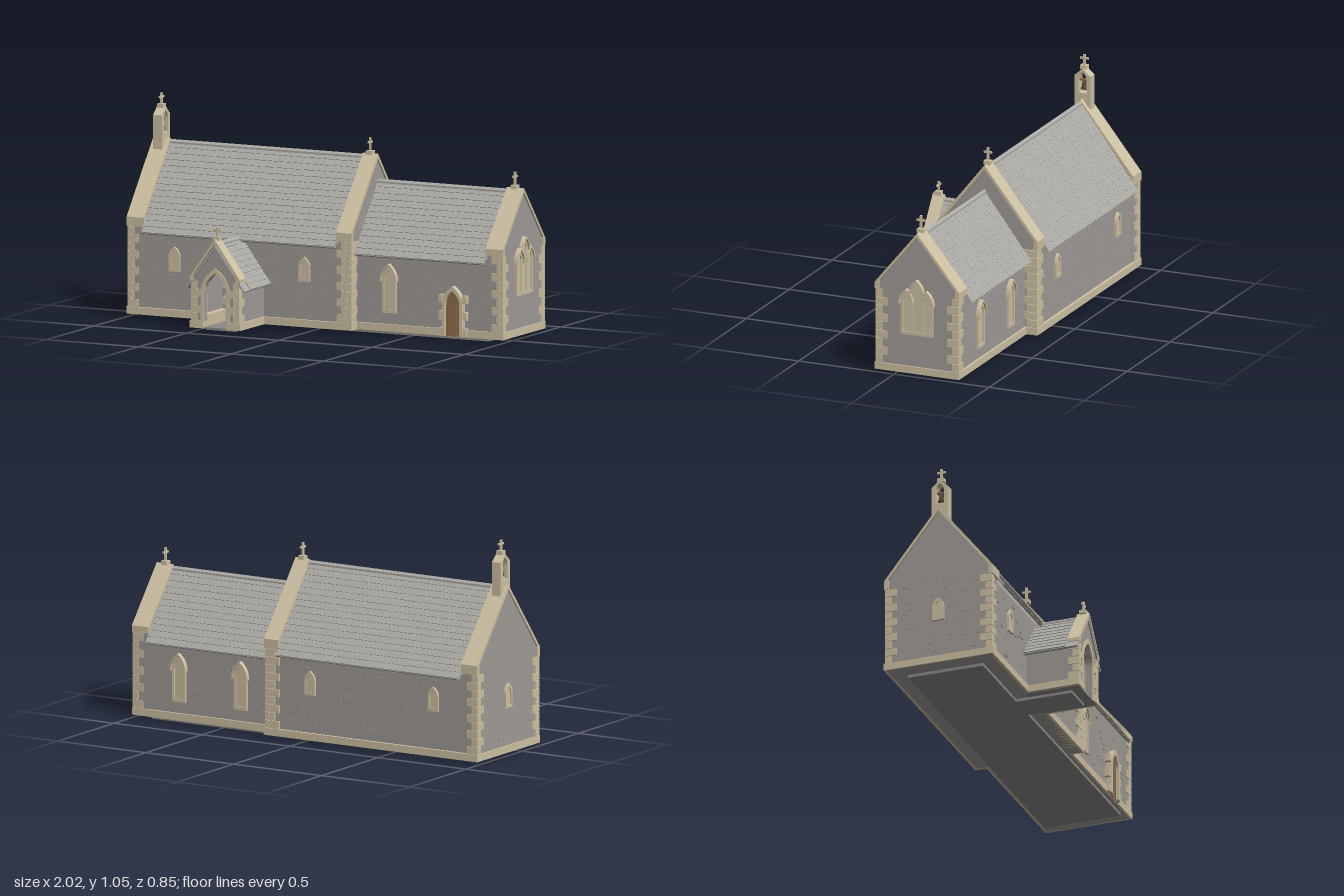
import * as THREE from 'three';
import { mergeGeometries } from 'three/addons/utils/BufferGeometryUtils.js';

const flat = (name, color) => {
  const m = new THREE.MeshStandardMaterial({ color });
  m.name = name;
  return m;
};
const AXIS = -0.12; // z of the ridge line
let seed = 7;
const rand = () => (seed = (seed * 16807) % 2147483647) / 2147483647;

export function createModel() {
  const stone = flat('grey rubble stone', 0xa09c98);
  const cream = flat('dressed cream stone', 0xcec2a3);
  const slate = flat('slate', 0xabaaa5);
  const wood = flat('oak', 0x8f6c4b);
  const bronze = flat('dark bronze', 0x5a4a3c);
  const floorMat = flat('paving', 0x8b8986);

  const model = new THREE.Group();
  const add = (parent, name, geo, mat) => {
    const m = new THREE.Mesh(geo, mat);
    m.name = name;
    parent.add(m);
    return m;
  };
  const boxGeo = (x0, x1, y0, y1, z0, z1) =>
    new THREE.BoxGeometry(x1 - x0, y1 - y0, z1 - z0).translate((x0 + x1) / 2, (y0 + y1) / 2, (z0 + z1) / 2);
  const shapeOf = (pts) => new THREE.Shape(pts.map((p) => new THREE.Vector2(...p)));
  const extrude = (shape, depth) => new THREE.ExtrudeGeometry(shape, { depth, bevelEnabled: false, curveSegments: 8 });
  // profile in (z, y) swept along x
  const alongX = (shape, x0, x1) => extrude(shape, x1 - x0).rotateY(Math.PI / 2).translate(x0, 0, 0);
  const house = (half, y0, eave, apex) => shapeOf([[-half, y0], [half, y0], [half, eave], [0, apex], [-half, eave]]);

  // ---- pointed arches, windows and doors ----
  const archTop = (s, w, spring, h, dir) => {
    const c = spring + (h - spring) * 0.62;
    s.quadraticCurveTo(dir * w, c, 0, h);
    s.quadraticCurveTo(-dir * w, c, -dir * w, spring);
  };
  const arch = (w, spring, h, y0 = 0, S = THREE.Shape) => {
    const s = new S();
    s.moveTo(w, y0);
    s.lineTo(w, spring);
    archTop(s, w, spring, h, 1);
    s.lineTo(-w, y0);
    s.closePath();
    return s;
  };
  const ring = (w, spring, h, t, y0) => {
    const s = new THREE.Shape();
    s.moveTo(w + t, y0);
    s.lineTo(w + t, spring);
    archTop(s, w + t, spring, h + t * 1.5, 1);
    s.lineTo(-w - t, y0);
    s.lineTo(-w, y0);
    s.lineTo(-w, spring);
    archTop(s, w, spring, h, -1);
    s.lineTo(w, y0);
    s.closePath();
    return s;
  };
  const opening = (parent, name, { x = 0, y, w, h, t = 0.013, depth = 0.012, door = false, hood = false, sill = true }) => {
    const g = new THREE.Group();
    g.name = name;
    g.position.set(x, y, 0);
    const spring = h - w * 1.9;
    add(g, 'surround', extrude(ring(w, spring, h, t, 0), depth), cream);
    add(g, door ? 'doorLeaf' : 'pane', extrude(arch(w, spring, h), depth * 0.5), door ? wood : cream);
    if (sill) add(g, 'sill', boxGeo(-w - t, w + t, -0.015, 0.001, 0, depth), cream);
    if (hood) {
      const m = add(g, 'hoodMould', extrude(ring(w + t, spring - 0.01, h + t * 1.4, 0.007, spring - 0.012), depth + 0.01), cream);
      m.position.z = 0;
    }
    if (door) {
      for (let i = -2; i <= 2; i++)
        add(g, 'doorBatten', boxGeo(i * w * 0.36 - 0.002, i * w * 0.36 + 0.002, 0, spring, depth * 0.5, depth * 0.5 + 0.002), wood);
      for (const s of [-1, 1]) for (let i = 0; i < 5; i += 2)
        add(g, 'jambBlock', boxGeo(s * (w + t + 0.008) - 0.01, s * (w + t + 0.008) + 0.01, i * 0.04, i * 0.04 + 0.04, 0, depth - 0.003), cream);
    }
    parent.add(g);
  };
  const face = (name, x, z, turn) => {
    const g = new THREE.Group();
    g.name = name;
    g.position.set(x, 0, z);
    g.rotation.y = turn;
    model.add(g);
    return g;
  };

  // ---- roof: thin slab, slate courses and ridge, along local x ----
  const roof = (parent, name, x0, x1, slabEnd, half, eave, ridge, rows) => {
    const g = new THREE.Group();
    g.name = name;
    const a = Math.atan2(ridge - eave, half), len = Math.hypot(ridge - eave, half), step = len / rows;
    const b = ridge - 0.008, e = eave - 0.008;
    add(g, 'roofSlab', alongX(shapeOf([[half, e], [0, b], [-half, e], [-half + 0.008, e - 0.006], [0, b - 0.016], [half - 0.008, e - 0.006]].reverse()), x0, slabEnd), slate);
    const slates = [], n = Math.round((x1 - x0) / 0.03), wide = (x1 - x0) / n;
    for (const s of [-1, 1]) for (let r = 0; r < rows; r++) {
      const off = r % 2 ? wide / 2 : 0;
      for (let i = 0; i < n + (r % 2); i++) {
        const l = Math.max(x0, x0 + i * wide - off), q = Math.min(x1, x0 + (i + 1) * wide - off);
        const d = (r + 0.5) * step, lift = rand() * 0.0012;
        slates.push(new THREE.BoxGeometry(q - l - 0.0015, 0.005, step * 1.12)
          .rotateX(s * (a - 0.09))
          .translate((l + q) / 2, ridge - 0.004 + lift - d * Math.sin(a), s * d * Math.cos(a)));
      }
    }
    add(g, 'slates', mergeGeometries(slates), slate);
    add(g, 'ridgeTiles', alongX(house(0.012, ridge - 0.014, ridge - 0.005, ridge + 0.005), x0, x1), slate);
    parent.add(g);
  };

  // ---- raised coping over a gable ----
  const coping = (parent, name, x0, x1, half, foot, eave, apex, t) => {
    const k = (apex - eave) / half, i = half - 0.022;
    const pts = [[half, foot], [half, eave], [0, apex], [-half, eave], [-half, foot], [-i, foot], [-i, apex - t - k * i], [0, apex - t], [i, apex - t - k * i], [i, foot]];
    add(parent, name, alongX(shapeOf(pts.reverse()), x0, x1), cream);
  };

  // ---- alternating corner stones; sx, sz point outwards ----
  const quoins = (parent, x, z, sx, sz, top, long = 0.06, short = 0.034) => {
    const parts = [], rows = Math.round((top - 0.05) / 0.039), h = (top - 0.05) / rows;
    for (let i = 0; i < rows; i++) {
      const lx = i % 2 ? short : long, lz = i % 2 ? long : short, y = 0.05 + i * h;
      const xs = [x, x - sx * lx].sort((p, q) => p - q), zs = [z, z - sz * lz].sort((p, q) => p - q);
      parts.push(boxGeo(xs[0], xs[1], y, y + h - 0.002, zs[0], zs[1]));
    }
    add(parent, 'quoins', mergeGeometries(parts), cream);
  };

  // ---- stones standing slightly proud of a wall ----
  const rubble = (parent, x0, x1, y0, y1, n) => {
    const parts = [];
    for (let i = 0; i < n; i++) {
      const x = x0 + rand() * (x1 - x0 - 0.035), y = y0 + rand() * (y1 - y0), w = 0.015 + rand() * 0.02;
      parts.push(boxGeo(x, x + w, y, y + 0.008 + rand() * 0.006, -0.002, 0.003));
    }
    add(parent, 'proudStones', mergeGeometries(parts), stone);
  };

  // ---- cross finial with arms along z ----
  const cross = (parent, x, y, z, h, turn = 0) => {
    const g = new THREE.Group();
    g.name = 'crossFinial';
    add(g, 'crossBase', boxGeo(-0.016, 0.016, -0.004, 0.015, -0.017, 0.017), cream);
    add(g, 'crossShaft', boxGeo(-0.005, 0.005, 0.015, h, -0.005, 0.005), cream);
    add(g, 'crossArms', boxGeo(-0.004, 0.004, h * 0.64, h * 0.64 + 0.01, -0.022, 0.022), cream);
    g.position.set(x, y, z);
    g.rotation.y = turn;
    parent.add(g);
  };

  // ---- nave and chancel, built about the ridge line ----
  const church = new THREE.Group();
  church.name = 'church';
  church.position.z = AXIS;
  model.add(church);
  add(church, 'naveWalls', alongX(house(0.265, 0.015, 0.43, 0.79), -0.99, 0.2), stone);
  add(church, 'chancelWalls', alongX(house(0.21, 0.015, 0.4, 0.675), 0.19, 0.99), stone);
  for (const [x0, x1] of [[-0.992, -0.912], [0.137, 0.203]])
    add(church, 'naveGable', alongX(house(0.268, 0.015, 0.475, 0.815), x0, x1), stone);
  add(church, 'chancelGable', alongX(house(0.213, 0.015, 0.44, 0.7), 0.912, 0.992), stone);
  coping(church, 'westCoping', -1, -0.907, 0.279, 0.44, 0.485, 0.835, 0.022);
  coping(church, 'middleCoping', 0.13, 0.212, 0.279, 0.44, 0.485, 0.835, 0.022);
  coping(church, 'eastCoping', 0.906, 1, 0.222, 0.42, 0.452, 0.722, 0.02);
  roof(church, 'naveRoof', -0.908, 0.132, 0.132, 0.302, 0.422, 0.825, 15);
  roof(church, 'chancelRoof', 0.212, 0.907, 0.907, 0.245, 0.387, 0.71, 12);
  for (const s of [-1, 1]) {
    quoins(church, -0.998, s * 0.275, -1, s, 0.44);
    quoins(church, 0.21, s * 0.275, 1, s, 0.44, 0.08, 0.055);
    quoins(church, 0.998, s * 0.218, 1, s, 0.42);
  }
  add(church, 'navePlinth', boxGeo(-1, 0.214, 0.015, 0.05, -0.28, 0.28), cream);
  add(church, 'chancelPlinth', boxGeo(0.2, 1, 0.015, 0.05, -0.222, 0.222), cream);
  add(church, 'foundation', boxGeo(-0.91, 0.91, 0, 0.016, -0.19, 0.195), floorMat);
  cross(church, 0.17, 0.833, 0, 0.08);
  cross(church, 0.95, 0.72, 0, 0.08);

  // ---- bellcote ----
  const cote = house(0.042, 0.775, 0.947, 0.985);
  cote.holes.push(arch(0.021, 0.925, 0.968, 0.862, THREE.Path));
  add(church, 'bellcote', alongX(cote, -0.98, -0.932), cream);
  const bell = [[0.001, 0.045], [0.008, 0.043], [0.01, 0.03], [0.012, 0.012], [0.018, 0], [0.014, 0.001], [0.001, 0.03]];
  add(church, 'bell', new THREE.LatheGeometry(bell.map((p) => new THREE.Vector2(...p)).reverse(), 16).translate(-0.956, 0.877, 0), bronze)
    .material.side = THREE.DoubleSide;
  add(church, 'bellBeam', boxGeo(-0.964, -0.948, 0.919, 0.928, -0.022, 0.022), wood);
  cross(church, -0.956, 0.983, 0, 0.067);

  // ---- wall openings on every side ----
  const slit = { y: 0.25, w: 0.017, h: 0.085 };
  const lancet = { y: 0.12, w: 0.024, h: 0.195, hood: true };
  const naveSouth = face('naveSouthFace', 0, AXIS + 0.265, 0);
  const chancelSouth = face('chancelSouthFace', 0, AXIS + 0.21, 0);
  const naveNorth = face('naveNorthFace', 0, AXIS - 0.265, Math.PI);
  const chancelNorth = face('chancelNorthFace', 0, AXIS - 0.21, Math.PI);
  for (const x of [-0.745, -0.045]) {
    opening(naveSouth, 'slitWindow', { ...slit, x });
    opening(naveNorth, 'slitWindow', { ...slit, x: -x });
  }
  opening(naveSouth, 'naveDoor', { x: -0.39, y: 0.017, w: 0.052, h: 0.225, depth: 0.034, door: true, sill: false });
  opening(chancelSouth, 'chancelWindow', { ...lancet, x: 0.385 });
  opening(chancelSouth, 'chancelDoor', { x: 0.735, y: 0.017, w: 0.039, h: 0.22, t: 0.016, depth: 0.03, door: true, sill: false });
  for (const x of [0.385, 0.735]) opening(chancelNorth, 'chancelWindow', { ...lancet, x: -x });
  opening(face('westFace', -0.992, AXIS, -Math.PI / 2), 'slitWindow', slit);
  const east = face('eastFace', 0.992, AXIS, Math.PI / 2);
  for (const x of [-0.053, 0, 0.053])
    opening(east, 'eastLight', { x, y: 0.225, w: 0.018, h: x ? 0.185 : 0.235, t: 0.014, hood: true });
  add(east, 'eastWindowMullions', boxGeo(-0.06, 0.06, 0.212, 0.4, 0, 0.005), cream);
  rubble(naveSouth, -0.93, 0.12, 0.07, 0.4, 60);
  rubble(naveNorth, -0.12, 0.93, 0.07, 0.4, 60);
  rubble(chancelSouth, 0.23, 0.93, 0.07, 0.36, 35);
  rubble(chancelNorth, -0.93, -0.23, 0.07, 0.36, 35);
  rubble(east, -0.16, 0.18, 0.07, 0.44, 25);
  rubble(face('westStones', -0.992, AXIS, -Math.PI / 2), -0.2, 0.23, 0.07, 0.46, 35);

  // ---- porch: local x runs outwards along +z ----
  const porch = new THREE.Group();
  porch.name = 'porch';
  porch.position.x = -0.39;
  porch.rotation.y = -Math.PI / 2;
  model.add(porch);
  const front = house(0.124, 0.016, 0.25, 0.42);
  front.holes.push(arch(0.062, 0.18, 0.285, 0.017, THREE.Path));
  add(porch, 'porchGable', alongX(front, 0.375, 0.41), stone);
  for (const s of [-1, 1]) {
    const side = (name, x0, x1, y0, y1, a, b, mat) => add(porch, name, boxGeo(x0, x1, y0, y1, Math.min(s * a, s * b), Math.max(s * a, s * b)), mat);
    side('porchWall', 0.14, 0.4, 0.015, 0.24, 0.1, 0.124, stone);
    side('porchSidePlinth', 0.15, 0.418, 0.015, 0.05, 0.11, 0.135, cream);
    side('porchFrontPlinth', 0.37, 0.418, 0.015, 0.05, 0.062, 0.13, cream);
    side('porchBench', 0.15, 0.375, 0.015, 0.075, 0.066, 0.102, cream);
    quoins(porch, 0.416, s * 0.13, 1, s, 0.245, 0.055, 0.032);
  }
  add(porch, 'porchArch', alongX(ring(0.062, 0.18, 0.285, 0.016, 0.017), 0.372, 0.416), cream);
  add(porch, 'porchFloor', boxGeo(0.14, 0.41, 0.014, 0.02, -0.12, 0.12), floorMat);
  add(porch, 'porchFoundation', boxGeo(0.07, 0.36, 0, 0.016, -0.08, 0.08), floorMat);
  roof(porch, 'porchRoof', 0.14, 0.36, 0.418, 0.16, 0.215, 0.43, 9);
  coping(porch, 'porchCoping', 0.358, 0.42, 0.136, 0.245, 0.262, 0.45, 0.02);
  cross(porch, 0.39, 0.447, 0, 0.063);

  return model;
}
